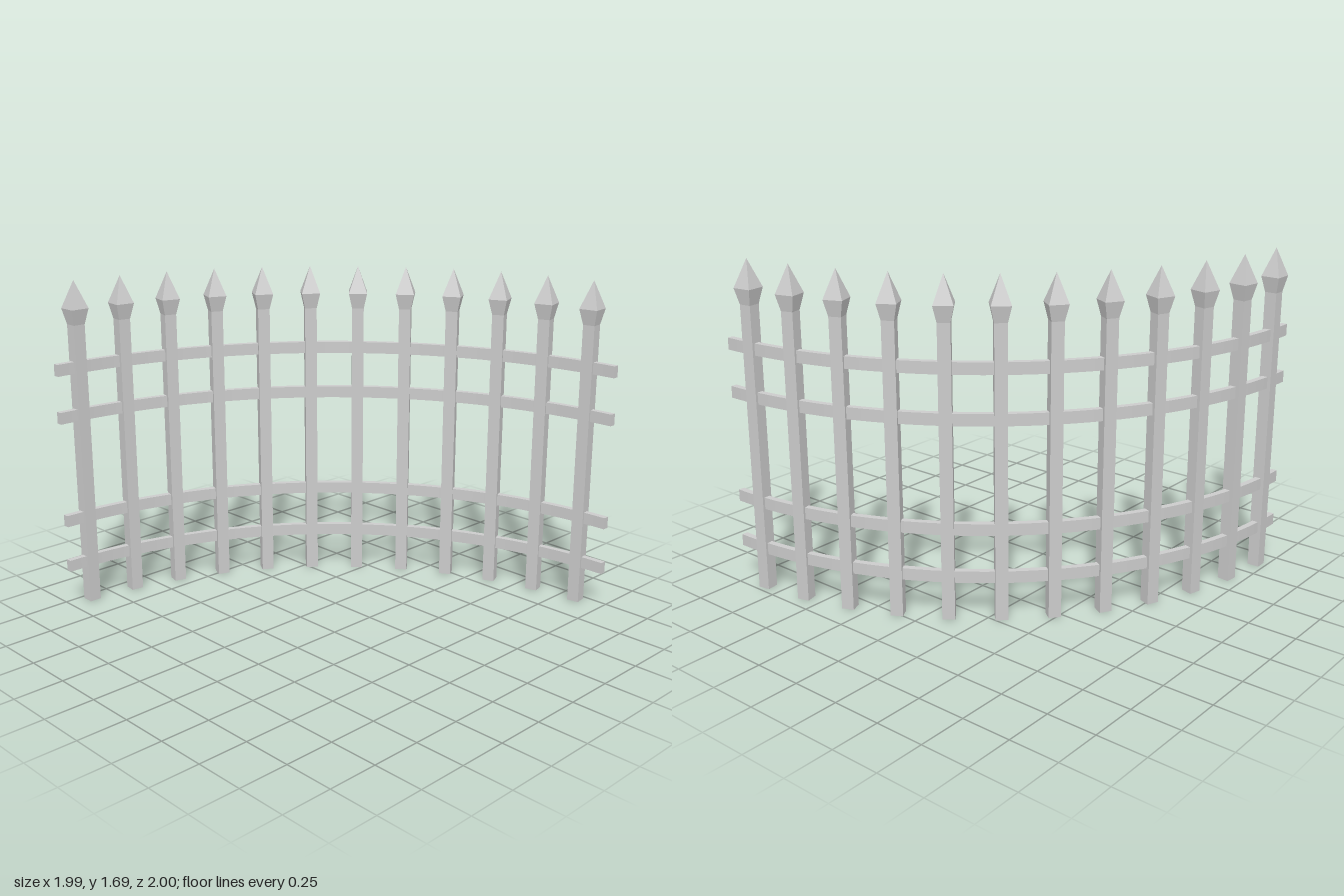
import * as THREE from 'three';

const RADIUS = 1.95; // quarter-circle fence centred on (1, 1) in plan
const POSTS = 12;
const STEP = THREE.MathUtils.degToRad(7.43);
const START = THREE.MathUtils.degToRad(3.75);

const material = new THREE.MeshStandardMaterial({ color: 0xcccccc, flatShading: true });

// Four-sided solid from [half-width, height] pairs
function squareLathe(profile) {
  const points = profile.map(([half, y]) => new THREE.Vector2(half * Math.SQRT2, y));
  return new THREE.LatheGeometry(points, 4, Math.PI / 4);
}

// Curved bar following the arc, 0.03 thick and 0.06 tall
function railGeometry() {
  const shape = new THREE.Shape();
  shape.absarc(1, 1, RADIUS + 0.016, Math.PI, Math.PI * 1.5, false);
  shape.absarc(1, 1, RADIUS - 0.016, Math.PI * 1.5, Math.PI, true);
  const geometry = new THREE.ExtrudeGeometry(shape, { depth: 0.06, bevelEnabled: false, curveSegments: 24 });
  return geometry.rotateX(Math.PI / 2).translate(0, 0.03, 0);
}

export function createModel() {
  const fence = new THREE.Group();
  fence.name = 'curvedFence';

  // Square pickets with pointed spear heads
  const shaft = squareLathe([[0, 0], [0.031, 0], [0.031, 1.47]]);
  const head = squareLathe([[0.031, 1.47], [0.048, 1.55], [0, 1.69]]);
  for (let i = 0; i < POSTS; i++) {
    const angle = START + i * STEP;
    const picket = new THREE.Group();
    picket.name = `picket${i + 1}`;
    const shaftMesh = new THREE.Mesh(shaft, material);
    shaftMesh.name = 'picketShaft';
    const headMesh = new THREE.Mesh(head, material);
    headMesh.name = 'spearHead';
    picket.add(shaftMesh, headMesh);
    picket.position.set(1 - RADIUS * Math.cos(angle), 0, 1 - RADIUS * Math.sin(angle));
    picket.rotation.y = -i * STEP;
    fence.add(picket);
  }

  // Two pairs of horizontal rails
  const rail = railGeometry();
  [0.22, 0.465, 1.01, 1.255].forEach((y, i) => {
    const mesh = new THREE.Mesh(rail, material);
    mesh.name = `rail${i + 1}`;
    mesh.position.y = y;
    fence.add(mesh);
  });

  return fence;
}
